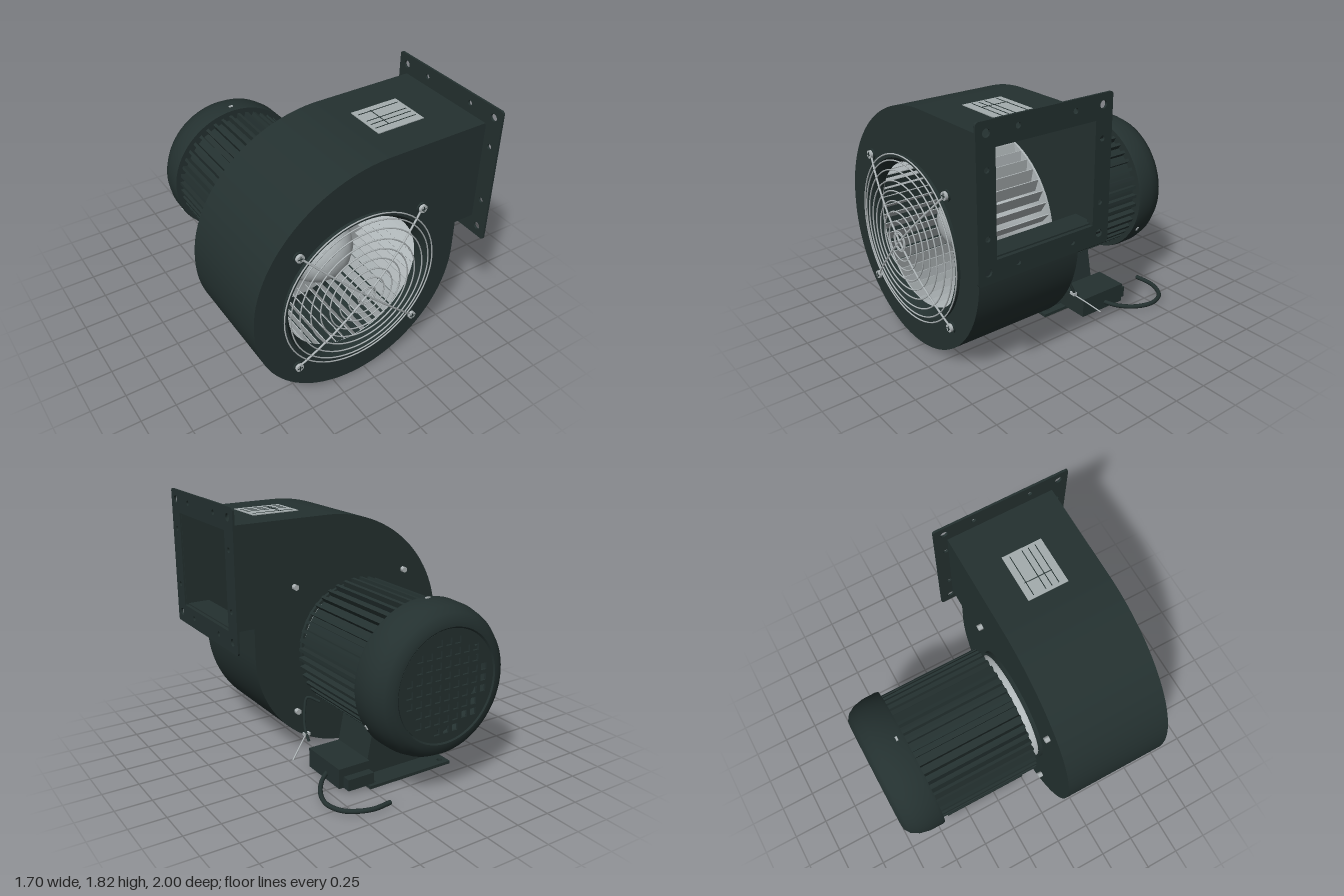
import * as THREE from 'three';
import { toCreasedNormals } from 'three/addons/utils/BufferGeometryUtils.js';

const AX = -0.085, AY = 0.77; // shared axis of inlet, impeller and motor
const mat = (name, color) => {
  const m = new THREE.MeshStandardMaterial({ color, side: THREE.DoubleSide });
  m.name = name;
  return m;
};
const V = (x, y, z) => new THREE.Vector3(x, y, z);

export function createModel() {
  const root = new THREE.Group();
  root.name = 'centrifugalBlower';
  const paint = mat('darkGreenPaint', 0x243130);
  const steel = mat('brightSteel', 0xb0b7b9);
  const paper = mat('labelGrey', 0xa4adae);

  const add = (name, geo, m, x = 0, y = 0, z = 0, parent = root) => {
    const mesh = new THREE.Mesh(geo, m);
    mesh.name = name;
    mesh.position.set(x, y, z);
    parent.add(mesh);
    return mesh;
  };
  const box = (name, m, w, h, d, x, y, z, parent) =>
    add(name, new THREE.BoxGeometry(w, h, d), m, x, y, z, parent);
  // Turned part about the blower axis, from [radius, z] pairs
  const turned = (name, pts, m, crease = 0.6) => {
    const g = new THREE.LatheGeometry(pts.map(p => new THREE.Vector2(p[0], p[1])), 64);
    g.rotateX(Math.PI / 2);
    return add(name, toCreasedNormals(g, crease), m, AX, AY, 0);
  };
  const extrude = (shape, depth) => toCreasedNormals(
    new THREE.ExtrudeGeometry(shape, { depth, bevelEnabled: false, curveSegments: 32 }), 0.4);
  const tube = (name, pts, r, m, parent) =>
    add(name, new THREE.TubeGeometry(new THREE.CatmullRomCurve3(pts), 40, r, 8), m, 0, 0, 0, parent);
  const disc = (name, r, depth, m, x, y, z, parent, sides = 24) =>
    add(name, new THREE.CylinderGeometry(r, r, depth, sides).rotateX(Math.PI / 2), m, x, y, z, parent);
  const roundHole = (x, y, r) => new THREE.Path().absarc(x, y, r, 0, Math.PI * 2, true);
  const rectPath = (P, x0, y0, x1, y1) => new P([[x0, y0], [x1, y0], [x1, y1], [x0, y1]]
    .map(p => new THREE.Vector2(p[0], p[1])));

  // Scroll housing outline, open at the outlet
  const outline = [new THREE.Vector2(0.825, 1.69)];
  for (let i = 0; i <= 32; i++) {
    const a = Math.PI / 2 * (1 + i / 32);
    outline.push(new THREE.Vector2(0.1 + 0.95 * Math.cos(a), 0.8 + 0.89 * Math.sin(a)));
  }
  for (let i = 0; i <= 56; i++) {
    const a = Math.PI * (1 + i / 56);
    outline.push(new THREE.Vector2(AX + 0.765 * Math.cos(a), AY + 0.767 * Math.sin(a)));
  }
  outline.push(new THREE.Vector2(0.68, 0.98), new THREE.Vector2(0.825, 0.98));
  const normal = (a, b) => new THREE.Vector2(a.y - b.y, b.x - a.x).normalize();
  const inner = outline.map((p, i) => {
    const n1 = normal(outline[Math.max(i - 1, 0)], outline[Math.max(i, 1)]);
    const j = Math.min(i, outline.length - 2);
    const n2 = normal(outline[j], outline[j + 1]);
    const n = n1.clone().add(n2).normalize();
    return p.clone().addScaledVector(n, 0.015 / n.dot(n2));
  });
  add('scrollWall', extrude(new THREE.Shape([...outline, ...inner.reverse()]), 0.75), paint, 0, 0, 0.115);
  const backPlate = new THREE.Shape(outline);
  add('housingBack', extrude(backPlate, 0.015), paint, 0, 0, 0.1);
  const frontPlate = new THREE.Shape(outline);
  frontPlate.holes.push(roundHole(AX, AY, 0.54));
  add('housingFront', extrude(frontPlate, 0.015), paint, 0, 0, 0.865);

  // Outlet collar and drilled flange, drawn in (-z, y)
  const collar = rectPath(THREE.Shape, -0.875, 0.975, -0.13, 1.67);
  collar.holes.push(rectPath(THREE.Path, -0.865, 0.985, -0.14, 1.66));
  add('outletCollar', extrude(collar, 0.04).rotateY(Math.PI / 2), paint, 0.8, 0, 0);
  const flange = new THREE.Shape();
  const c = 0.02, fx0 = -1, fx1 = -0.01, fy0 = 0.845, fy1 = 1.82;
  flange.absarc(fx1 - c, fy0 + c, c, -Math.PI / 2, 0);
  flange.absarc(fx1 - c, fy1 - c, c, 0, Math.PI / 2);
  flange.absarc(fx0 + c, fy1 - c, c, Math.PI / 2, Math.PI);
  flange.absarc(fx0 + c, fy0 + c, c, Math.PI, Math.PI * 1.5);
  flange.holes.push(rectPath(THREE.Path, -0.87, 0.985, -0.14, 1.66));
  for (const z of [0.93, 0.085]) {
    for (const y of [1.75, 0.92]) flange.holes.push(roundHole(-z, y, 0.026));
    for (const y of [1.54, 1.13]) flange.holes.push(roundHole(-z, y, 0.018));
  }
  for (const z of [0.715, 0.3]) for (const y of [1.75, 0.92]) flange.holes.push(roundHole(-z, y, 0.018));
  add('outletFlange', extrude(flange, 0.015).rotateY(Math.PI / 2), paint, 0.835, 0, 0);

  // Rating label with ruled lines
  box('ratingLabel', paper, 0.35, 0.006, 0.29, 0.365, 1.692, 0.487);
  for (const z of [0.39, 0.48, 0.525, 0.575]) box('labelLine', paint, 0.31, 0.003, 0.005, 0.365, 1.696, z);
  box('labelColumn', paint, 0.005, 0.003, 0.2, 0.31, 1.696, 0.48);

  // Inlet bell
  turned('inletBell', [[0.57, 0.88], [0.57, 0.9], [0.545, 0.9], [0.53, 0.88], [0.51, 0.85], [0.5, 0.81]], paint);

  // Impeller: back disc with bell hub, front rim and blades
  turned('impellerHub', [[0.6, 0.17], [0.6, 0.185], [0.47, 0.19], [0.38, 0.22], [0.32, 0.29], [0.27, 0.4],
    [0.21, 0.52], [0.14, 0.59], [0.07, 0.62], [0, 0.625]], steel);
  turned('impellerBack', [[0, 0.168], [0.6, 0.17]], steel);
  turned('impellerRim', [[0.52, 0.79], [0.6, 0.79], [0.6, 0.81], [0.52, 0.81], [0.52, 0.79]], steel);
  const blades = new THREE.Group();
  blades.name = 'impellerBlades';
  root.add(blades);
  for (let i = 0; i < 48; i++) {
    const a = i / 48 * Math.PI * 2;
    const b = box('blade', steel, 0.09, 0.006, 0.61, AX + 0.56 * Math.cos(a), AY + 0.56 * Math.sin(a), 0.485, blades);
    b.rotation.z = a + 0.6;
  }

  // Domed wire guard
  const guard = new THREE.Group();
  guard.name = 'inletGuard';
  root.add(guard);
  const domeZ = r => 0.968 - 0.06 * (r / 0.57) ** 2;
  for (const r of [0.055, 0.067, 0.135, 0.2, 0.27, 0.335, 0.4, 0.47, 0.53, 0.57])
    add('guardRing', new THREE.TorusGeometry(r, 0.005, 6, 64), steel, AX, AY, domeZ(r), guard);
  for (const sx of [-1, 1]) for (const sy of [-1, 1]) {
    const spoke = [0, 0.2, 0.4, 0.57, 0.643].map(r =>
      V(AX + sx * r * Math.SQRT1_2, AY + sy * r * Math.SQRT1_2, domeZ(r)));
    tube('guardSpoke', spoke, 0.007, steel, guard);
    const x = AX + sx * 0.455, y = AY + sy * 0.455;
    disc('boltWasher', 0.038, 0.012, paint, x, y, 0.884, guard);
    disc('guardBolt', 0.028, 0.03, steel, x, y, 0.893, guard);
    for (const a of [0, Math.PI / 2])
      box('boltSlot', paint, 0.036, 0.006, 0.004, x, y, 0.909, guard).rotation.z = a;
    disc('backBolt', 0.022, 0.035, steel, x, y, 0.085, guard, 6);
  }

  // Motor mounting rings
  turned('mountRing', [[0, 0.075], [0.42, 0.075], [0.42, 0.1]], paint);
  turned('spacerRing', [[0, 0.03], [0.38, 0.03], [0.4, 0.06], [0.4, 0.075]], steel);

  // Finned motor body
  turned('motorBody', [[0, -0.76], [0.435, -0.76], [0.435, 0.02], [0.4, 0.03], [0, 0.03]], paint);
  const fins = new THREE.Group();
  fins.name = 'motorFins';
  root.add(fins);
  for (let i = 0; i < 44; i++) {
    const a = (i + 0.5) / 44 * Math.PI * 2;
    box('fin', paint, 0.06, 0.022, 0.76, AX + 0.446 * Math.cos(a), AY + 0.446 * Math.sin(a), -0.36, fins)
      .rotation.z = a;
  }

  // Fan cover with square vent holes
  turned('fanCover', [[0.365, -0.98], [0.385, -0.998], [0.42, -0.995], [0.465, -0.965], [0.497, -0.91],
    [0.513, -0.84], [0.515, -0.74], [0.51, -0.72], [0.44, -0.72]], paint, 0.7);
  const grille = new THREE.Shape().absarc(0, 0, 0.375, 0, Math.PI * 2);
  for (let i = -4; i <= 4; i++) for (let j = -4; j <= 4; j++) {
    const x = i * 0.073, y = j * 0.073, s = 0.023;
    if (Math.hypot(x, y) < 0.31) grille.holes.push(rectPath(THREE.Path, x - s, y - s, x + s, y + s));
  }
  add('ventGrille', extrude(grille, 0.015), paint, AX, AY, -0.99);
  for (const a of [Math.PI / 2, -0.5, Math.PI + 0.5]) {
    box('coverScrew', steel, 0.02, 0.03, 0.014, AX + 0.512 * Math.cos(a), AY + 0.512 * Math.sin(a), -0.77)
      .rotation.z = a;
  }

  // Foot: drilled base plate and tapered pedestal
  const base = rectPath(THREE.Shape, -0.42, -0.01, 0.25, 0.65);
  for (const x of [-0.37, 0.2]) for (const z of [0.05, 0.6]) base.holes.push(roundHole(x, z, 0.02));
  add('basePlate', extrude(base, 0.022).rotateX(-Math.PI / 2), paint);
  const pedestal = new THREE.Shape([[-0.28, 0.02], [0.28, 0.02], [0.2, 0.42], [-0.2, 0.42]]
    .map(p => new THREE.Vector2(p[0], p[1])));
  add('pedestal', extrude(pedestal, 0.36), paint, AX, 0, -0.5);

  // Terminal box, power cable and earth lead
  box('terminalBox', paint, 0.24, 0.14, 0.38, 0.32, 0.09, -0.375);
  box('terminalBoxStep', paint, 0.2, 0.08, 0.25, 0.305, 0.06, -0.5);
  tube('powerCable', [V(0.42, 0.07, -0.39), V(0.5, 0.05, -0.45), V(0.58, 0.035, -0.56), V(0.62, 0.032, -0.7),
    V(0.58, 0.032, -0.82), V(0.5, 0.032, -0.88), V(0.4, 0.032, -0.91), V(0.27, 0.032, -0.9)], 0.016, paint);
  tube('earthLead', [V(0.3, 0.44, -0.1), V(0.37, 0.47, -0.05), V(0.4, 0.38, -0.06), V(0.42, 0.26, -0.1),
    V(0.42, 0.19, -0.15)], 0.01, paint);
  tube('earthWire', [V(0.41, 0.23, -0.1), V(0.5, 0.175, -0.16), V(0.585, 0.12, -0.215)], 0.005, steel);
  box('earthTag', steel, 0.045, 0.02, 0.03, 0.415, 0.23, -0.11);

  return root;
}
